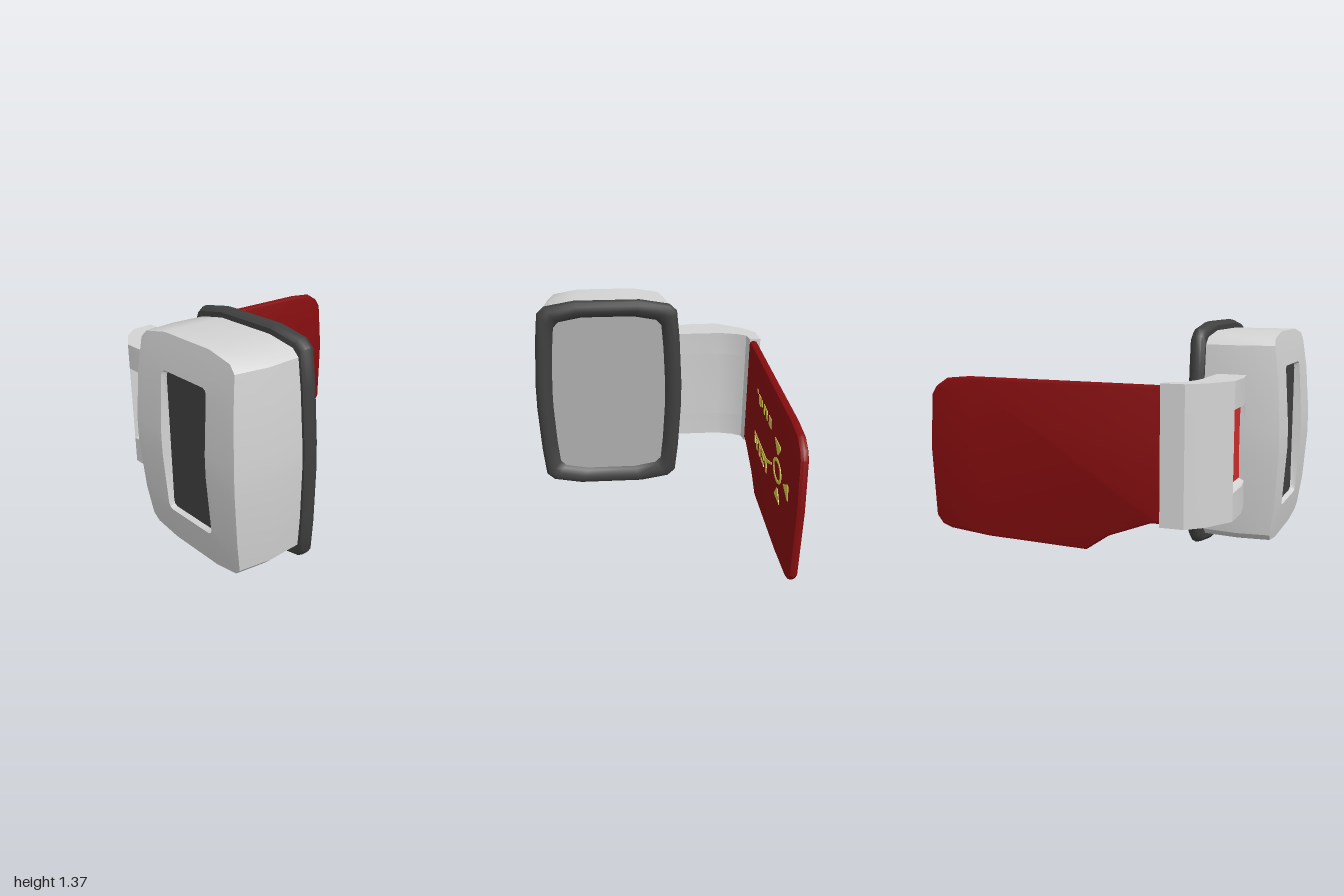
import * as THREE from 'three';
import { toCreasedNormals } from 'three/addons/utils/BufferGeometryUtils.js';

const CX = 0.268, CY = 0.688; // centre of the display housing

const mat = (name, color) => {
  const m = new THREE.MeshStandardMaterial({ color });
  m.name = name;
  return m;
};

// one quadrant of an outline, mirrored to a full anticlockwise ring of 20 points
const CASE = [[1, 0.12], [0.965, 0.6], [0.925, 0.885], [0.83, 0.95], [0.44, 1]];
const RECESS = [[1, 0.15], [1, 0.92], [0.96, 0.975], [0.85, 1], [0.44, 1]];
function outline(quadrant, hw, hh) {
  const half = [...quadrant, ...quadrant.slice().reverse().map(([x, y]) => [-x, y])];
  return [...half, ...half.map(([x, y]) => [-x, -y])].map(([x, y]) => [x * hw, y * hh]);
}
const ring = (pts, z) => pts.map(([x, y]) => [x, y, typeof z === 'function' ? z(y) : z]);

// skin through closed rings of equal point count
function loft(rings, crease = 0.6) {
  const n = rings[0].length, index = [];
  for (let i = 0; i < rings.length - 1; i++) {
    for (let j = 0; j < n; j++) {
      const k = (j + 1) % n;
      const a = i * n + j, b = i * n + k, c = b + n, d = a + n;
      index.push(a, b, c, a, c, d);
    }
  }
  const g = new THREE.BufferGeometry();
  g.setAttribute('position', new THREE.Float32BufferAttribute(rings.flat(2), 3));
  g.setIndex(index);
  return toCreasedNormals(g, crease);
}

const shapeOf = (pts) => new THREE.Shape(pts.map(([x, y]) => new THREE.Vector2(x, y)));

export function createModel() {
  const shell = mat('pale grey shell', 0xd3d3d3);
  const screenGrey = mat('screen grey', 0xb0b0b0);
  const rubber = mat('dark grey rubber', 0x404040);
  const red = mat('bright red', 0xd22c2c);
  const darkRed = mat('dark red', 0x860d0f);
  const yellow = mat('yellow', 0xd0ca48);

  const model = new THREE.Group();
  const add = (parent, name, geometry, material) => {
    const m = new THREE.Mesh(geometry, material);
    m.name = name;
    parent.add(m);
    return m;
  };

  // ---- display housing ----
  const housing = new THREE.Group();
  housing.name = 'displayHousing';
  housing.position.set(CX, CY, 0);
  model.add(housing);

  // shell with a bowed front and a recess
  const bow = (y) => 1 - 0.06 * (y / 0.632) ** 2;
  const rim = outline(CASE, 0.445, 0.632);
  const mouth = outline(RECESS, 0.202, 0.428);
  const floor = outline(RECESS, 0.195, 0.415);
  const face = [0, 0.25, 0.5, 0.75, 1].map((t) =>
    ring(rim.map(([x, y], i) => [x + (mouth[i][0] - x) * t, y + (mouth[i][1] - y) * t]), bow));
  add(housing, 'housingShell', loft([
    ring(outline(CASE, 0.462, 0.632), 0.5),
    ring(outline(CASE, 0.478, 0.632), 0.76),
    ...face,
    ring(floor, 0.945),
  ]), shell);
  add(housing, 'recessPanel', new THREE.ShapeGeometry(shapeOf(floor)), rubber).position.z = 0.945;

  // rounded rubber frame around the screen: [inset, z]
  const frameProfile = [[0.12, 0.51], [0.1, 0.48], [0.065, 0.458], [0.03, 0.458], [0.008, 0.475],
    [0, 0.5], [0.006, 0.53], [0.025, 0.55], [0.07, 0.55]];
  add(housing, 'screenFrame', loft(frameProfile.map(([o, z]) =>
    ring(outline(CASE, 0.505 - o, 0.687 - o), z)), 0.75), rubber);

  const screen = new THREE.ShapeGeometry(shapeOf(outline(CASE, 0.4, 0.58))).rotateY(Math.PI);
  add(housing, 'screen', screen, screenGrey).position.z = 0.5;

  // ---- curved arm, extruded upwards from its plan ----
  const arm = new THREE.Group();
  arm.name = 'arm';
  model.add(arm);
  const inner = [[-0.1, 0.63], [-0.52, 0.63], [-0.63, 0.6], [-0.69, 0.565], [-0.703, 0.497]];
  const outer = [[-0.775, 0.497], [-0.763, 0.63], [-0.68, 0.725], [-0.515, 0.828]];
  const fullFront = [[-0.33, 0.828], [-0.2, 0.805], [-0.1, 0.785]];
  const cutFront = [[-0.515, 0.765], [-0.1, 0.765]];
  const slab = (name, front, y0, y1) => {
    const plan = shapeOf([...inner, ...outer, ...front].map(([x, z]) => [x, -z]));
    const g = new THREE.ExtrudeGeometry(plan, { depth: y1 - y0, bevelEnabled: false });
    add(arm, name, toCreasedNormals(g.rotateX(-Math.PI / 2), 0.5), shell).position.y = y0;
  };
  slab('armLower', fullFront, 0.3, 0.46);
  slab('armMiddle', cutFront, 0.46, 0.925);
  slab('armUpper', fullFront, 0.925, 1.08);

  // sloped window surround and its red panel
  const rect = (x0, x1, y0, y1, z0, z1) => [[x0, y0, z0], [x1, y0, z1], [x1, y1, z1], [x0, y1, z0]];
  add(arm, 'windowSurround', loft([
    rect(-0.515, -0.2, 0.46, 0.925, 0.828, 0.805),
    rect(-0.497, -0.2, 0.477, 0.905, 0.775, 0.775),
  ], 0.1), shell);
  const panel = new THREE.PlaneGeometry(0.397, 0.428);
  add(arm, 'redPanel', panel, red).position.set(-0.2985, 0.691, 0.775);

  // ---- dark red side plate, drawn as [-z, y] and turned to face +x ----
  const plate = new THREE.Group();
  plate.name = 'sidePlate';
  model.add(plate);
  const sideExtrude = (shape, options) =>
    new THREE.ExtrudeGeometry(shape, options).rotateY(Math.PI / 2);
  const plateShape = shapeOf([[-0.51, 0.31], [-0.43, 0.305], [-0.18, 0.205], [-0.04, 0.107],
    [0.61, 0.107], [0.87, 0.125], [0.935, 0.147], [0.977, 0.2], [1, 0.63], [0.977, 0.95],
    [0.945, 1.0], [0.87, 1.048], [0.72, 1.063], [-0.51, 1.065]]);
  const plateGeo = sideExtrude(plateShape, {
    depth: 0.012, bevelThickness: 0.021, bevelSize: 0.022, bevelOffset: -0.022, bevelSegments: 2,
  });
  add(plate, 'plateBody', toCreasedNormals(plateGeo, 0.5), darkRed).position.x = -0.734;

  // painted yellow marks
  const marks = new THREE.Group();
  marks.name = 'paintedMarks';
  marks.position.x = -0.701;
  plate.add(marks);
  const mark = (name, shape) =>
    add(marks, name, sideExtrude(shape, { depth: 0.004, bevelEnabled: false, curveSegments: 20 }), yellow);

  const circle = new THREE.Shape().absellipse(0.53, 0.637, 0.107, 0.072, 0, Math.PI * 2);
  circle.holes.push(new THREE.Path().absellipse(0.53, 0.637, 0.08, 0.052, 0, Math.PI * 2));
  mark('ringMark', circle);
  [
    [[0.69, 0.64], [0.80, 0.6], [0.82, 0.605], [0.8, 0.69], [0.775, 0.688]],
    [[0.43, 0.81], [0.44, 0.79], [0.51, 0.74], [0.53, 0.74], [0.58, 0.8], [0.57, 0.813]],
    [[0.5, 0.465], [0.64, 0.465], [0.58, 0.535], [0.555, 0.535]],
  ].forEach((p) => mark('wedgeMark', shapeOf(p)));
  mark('lineMark', shapeOf([[-0.14, 0.54], [0.25, 0.535], [0.39, 0.597], [0.39, 0.61],
    [0.24, 0.557], [-0.14, 0.562]]));

  // rows of plain slanted blocks: [start, end, bottom, top]
  [
    [-0.13, -0.11, 0.85, 0.87], [-0.07, -0.01, 0.8, 0.86], [0.025, 0.045, 0.82, 0.86],
    [0.085, 0.11, 0.8, 0.86], [0.11, 0.19, 0.84, 0.86], [0.155, 0.19, 0.8, 0.84],
    [0.24, 0.305, 0.8, 0.86],
    [-0.13, -0.1, 0.49, 0.53], [-0.07, -0.03, 0.47, 0.53], [0.025, 0.06, 0.47, 0.53],
    [0.1, 0.18, 0.465, 0.485], [0.11, 0.18, 0.51, 0.53], [0.2, 0.27, 0.51, 0.53],
    [0.235, 0.265, 0.465, 0.51],
  ].forEach(([a, b, c, d]) =>
    mark('blockMark', shapeOf([[a + 0.006, c], [b + 0.006, c], [b - 0.006, d], [a - 0.006, d]])));

  return model;
}
